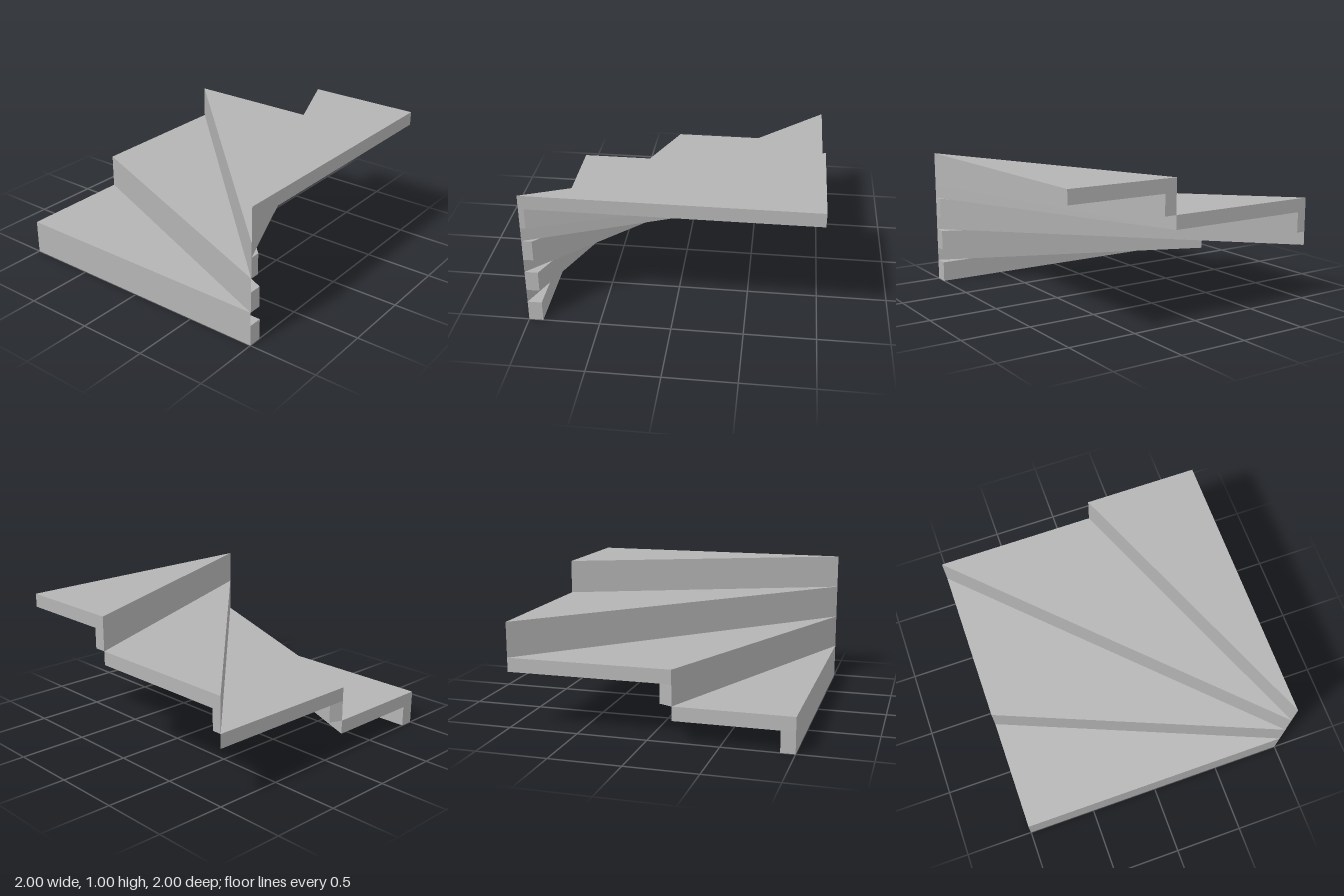
import * as THREE from 'three';

const RISE = 0.25, TREAD = 0.1, THICK = 0.1;

// Upright prism over a plan outline of [x, z] points
function prism(points, bottom, height, material, name) {
  const shape = new THREE.Shape(points.map(([x, z]) => new THREE.Vector2(x, -z)));
  const geometry = new THREE.ExtrudeGeometry(shape, { depth: height, bevelEnabled: false });
  geometry.rotateX(-Math.PI / 2);
  geometry.translate(0, bottom, 0);
  const mesh = new THREE.Mesh(geometry, material);
  mesh.name = name;
  return mesh;
}

export function createModel() {
  const grey = new THREE.MeshStandardMaterial({ color: 0xb4b4b4 });
  grey.name = 'stairGrey';

  const stairs = new THREE.Group();
  stairs.name = 'winderStairs';

  // Treads fan out from one corner in equal angles across a square
  const pivot = [-1, 1];
  const reach = 2 * Math.tan(Math.PI / 8) - 1;
  const outer = [[-1, -1], [reach, -1], [1, -1], [1, -reach - 0], [1, 1]];
  // Outline points stay inside the square
  const clamp = (v) => Math.min(1, Math.max(-1, v));

  for (let i = 0; i < 4; i++) {
    const step = new THREE.Group();
    step.name = `step${i + 1}`;
    const bottom = i * RISE;
    const a = outer[i];

    // Wedge tread
    step.add(prism([pivot, a, outer[i + 1]], bottom + RISE - TREAD, TREAD, grey, 'tread'));

    // Riser board under the leading edge, set back square to that edge
    const angle = i * Math.PI / 8;
    const dx = THICK * Math.cos(angle), dz = THICK * Math.sin(angle);
    const inset = ([x, z]) => [clamp(x + dx), clamp(z + dz)];
    step.add(prism([pivot, a, inset(a), inset(pivot)], bottom, RISE - TREAD, grey, 'riser'));

    stairs.add(step);
  }
  return stairs;
}
